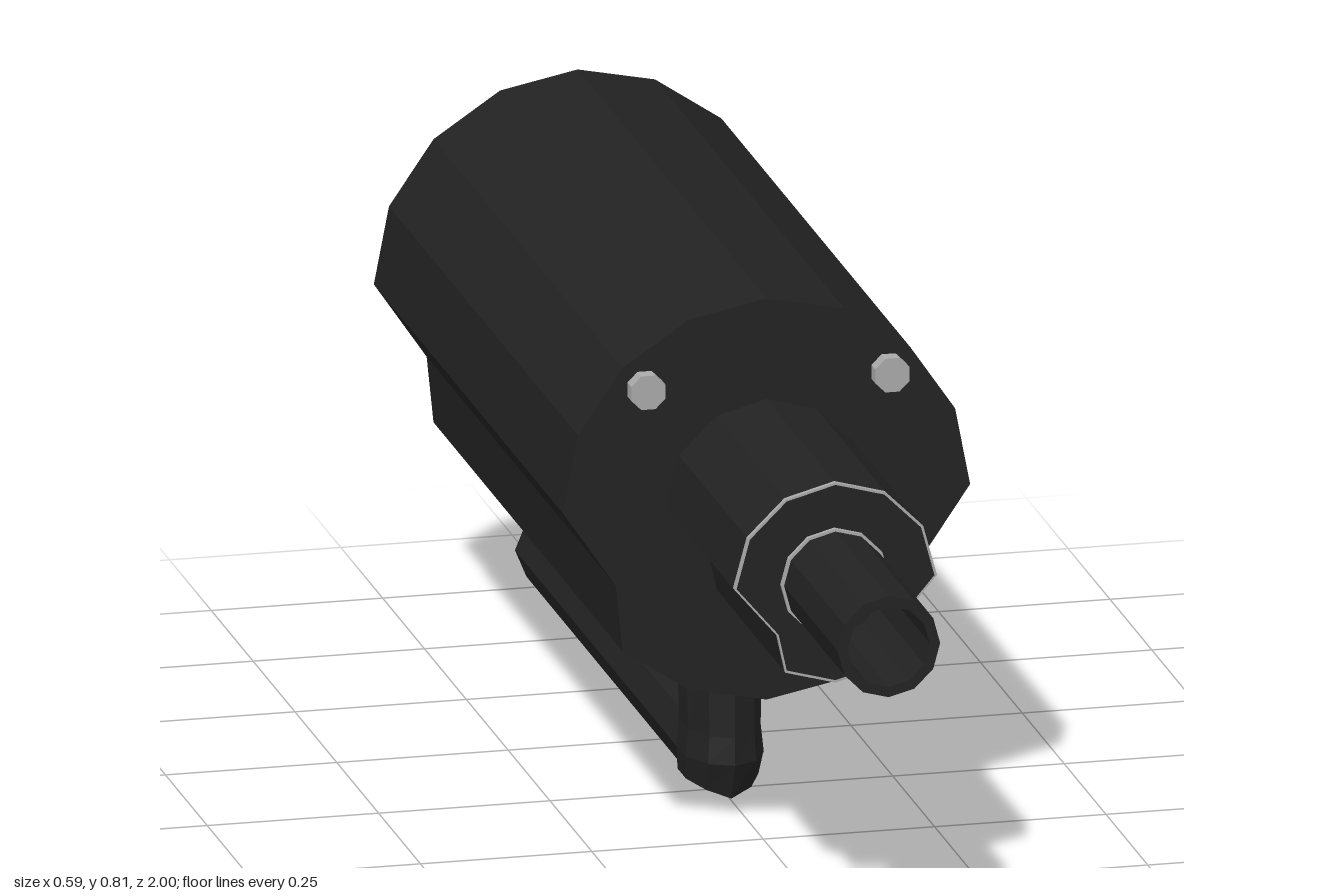
import * as THREE from 'three';

const AXIS = 0.513; // height of the barrel axis
const dark = new THREE.MeshStandardMaterial({ color: 0x222222, flatShading: true });
const light = new THREE.MeshStandardMaterial({ color: 0xaaaaaa, flatShading: true });

// Half outlines, top to bottom, relative to the barrel axis
const BODY = [[0, .297], [.113, .274], [.21, .209], [.275, .114], [.297, 0], [.22, -.113], [.21, -.211], [.113, -.275], [0, -.298]];
const SLEEVE = [[0, .148], [.073, .128], [.128, .074], [.148, 0], [.085, -.074], [.073, -.129], [0, -.149]];

function mirrored(half, scale = 1) {
  const other = half.slice(1, -1).reverse().map(([x, y]) => [-x, y]);
  return [...half, ...other].map(([x, y]) => new THREE.Vector2(x * scale, y * scale));
}

function prism(name, half, z0, z1, material, holeScale) {
  const shape = new THREE.Shape(mirrored(half));
  if (holeScale) shape.holes.push(new THREE.Path(mirrored(half, holeScale)));
  const geo = new THREE.ExtrudeGeometry(shape, { depth: z1 - z0, bevelEnabled: false });
  const mesh = new THREE.Mesh(geo, material);
  mesh.name = name;
  mesh.position.set(0, AXIS, z0);
  return mesh;
}

// Turned part along z from [radius, z] points
function turned(name, points, sides, material) {
  const geo = new THREE.LatheGeometry(points.map(p => new THREE.Vector2(...p)), sides).rotateX(Math.PI / 2);
  const mesh = new THREE.Mesh(geo, material);
  mesh.name = name;
  return mesh;
}

// Closed loft through rings of equal length, capped at both ends
function loft(name, rings, material) {
  const n = rings[0].length, index = [];
  const pos = rings.flat(2);
  for (let r = 0; r < rings.length - 1; r++) {
    for (let i = 0; i < n; i++) {
      const a = r * n + i, b = r * n + (i + 1) % n;
      index.push(a, a + n, b, b, a + n, b + n);
    }
  }
  const last = (rings.length - 1) * n;
  for (let i = 1; i < n - 1; i++) index.push(0, i, i + 1, last, last + i + 1, last + i);
  const geo = new THREE.BufferGeometry();
  geo.setAttribute('position', new THREE.Float32BufferAttribute(pos, 3));
  geo.setIndex(index);
  geo.computeVertexNormals();
  const mesh = new THREE.Mesh(geo, material);
  mesh.name = name;
  return mesh;
}

export function createModel() {
  const group = new THREE.Group();

  // Main housing and stepped sleeve
  group.add(prism('housing', BODY, -0.86, 0.27, dark));
  group.add(prism('sleeve', SLEEVE, 0.26, 0.675, dark));
  group.add(prism('sleeveRim', SLEEVE, 0.675, 0.682, light, 0.975));

  // Hollow barrel with a thin collar at its root
  const barrel = turned('barrel', [[.075, .66], [.075, 1], [.06, 1], [.06, .72], [0, .72]], 12, dark);
  const collar = turned('barrelCollar', [[.079, .67], [.079, .682], [.074, .682]], 12, light);
  barrel.position.y = collar.position.y = AXIS;
  group.add(barrel, collar);

  // Pair of bolts on the front face
  for (const side of [1, -1]) {
    const bolt = new THREE.Mesh(new THREE.CylinderGeometry(0.027, 0.027, 0.033, 8), light);
    bolt.name = side > 0 ? 'leftBolt' : 'rightBolt';
    bolt.geometry.rotateY(Math.PI / 8).rotateX(Math.PI / 2);
    bolt.position.set(side * 0.178, 0.69, 0.2765);
    group.add(bolt);
  }

  // Stem under the housing, ending in a keeled elbow: [y, half width, back z, front z, keel drop]
  const levels = [[.26, .056, -.1, .08, 0], [.1, .053, -.1, .08, 0], [.06, .057, -.1, .082, 0], [.022, .053, -.1, .06, .017]];
  const rings = levels.map(([y, w, zb, zf, drop]) => {
    const ring = [];
    for (let i = 0; i < 10; i++) {
      const a = i * Math.PI / 5;
      const x = w * Math.max(-1, Math.min(1, Math.sin(a) * 1.05));
      ring.push([x, y - drop * (1 - Math.abs(x) / w), (zb + zf) / 2 + (zf - zb) / 2 * Math.cos(a)]);
    }
    return ring;
  });
  group.add(loft('stem', rings, dark));

  // Long bar running to the back
  const bar = new THREE.Mesh(new THREE.CylinderGeometry(0.057, 0.057, 1.02, 8), dark);
  bar.name = 'bar';
  bar.geometry.rotateX(Math.PI / 2);
  bar.position.set(0, 0.059, -0.49);
  group.add(bar);

  return group;
}
